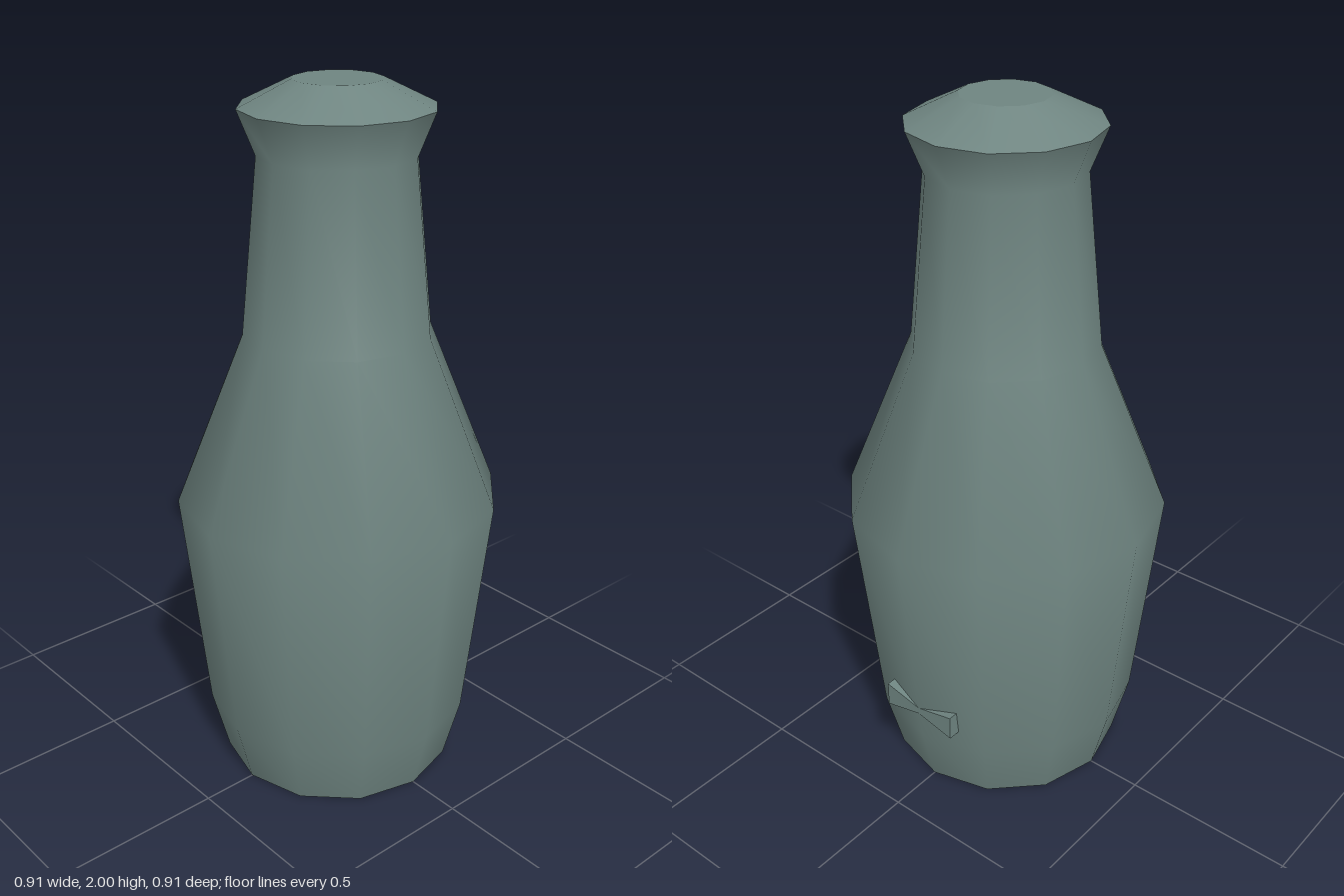
import * as THREE from 'three';

const SIDES = 12;

export function createModel() {
  const group = new THREE.Group();
  const glass = new THREE.MeshStandardMaterial({ color: 0x6f8581 });
  glass.name = 'greyGreen';

  const add = (name, geometry) => {
    const mesh = new THREE.Mesh(geometry, glass);
    mesh.name = name;
    group.add(mesh);
  };

  // Turned parts as [radius, height]; separate profiles keep the edges between them sharp
  const profiles = {
    base: [[0, 0], [0.338, 0]],
    body: [[0.338, 0], [0.386, 0.185], [0.457, 0.847], [0.262, 1.328], [0.215, 1.81], [0.263, 1.93]],
    capSlope: [[0.263, 1.93], [0.12, 2]],
    capTop: [[0.12, 2], [0, 2]],
  };
  for (const [name, points] of Object.entries(profiles)) {
    add(name, new THREE.LatheGeometry(points.map(([r, y]) => new THREE.Vector2(r, y)), SIDES));
  }

  // Small bow set into the back, wide at its ends and pinched in the middle
  const w = 0.12, end = 0.037, waist = 0.01;
  const bow = new THREE.Shape([
    [-w, -end], [0, -waist], [w, -end], [w, end], [0, waist], [-w, end],
  ].map(([x, y]) => new THREE.Vector2(x, y)));
  const bowGeometry = new THREE.ExtrudeGeometry(bow, { depth: 0.06, bevelEnabled: false });
  bowGeometry.translate(0, 0.282, -0.397);
  add('backBow', bowGeometry);

  return group;
}
